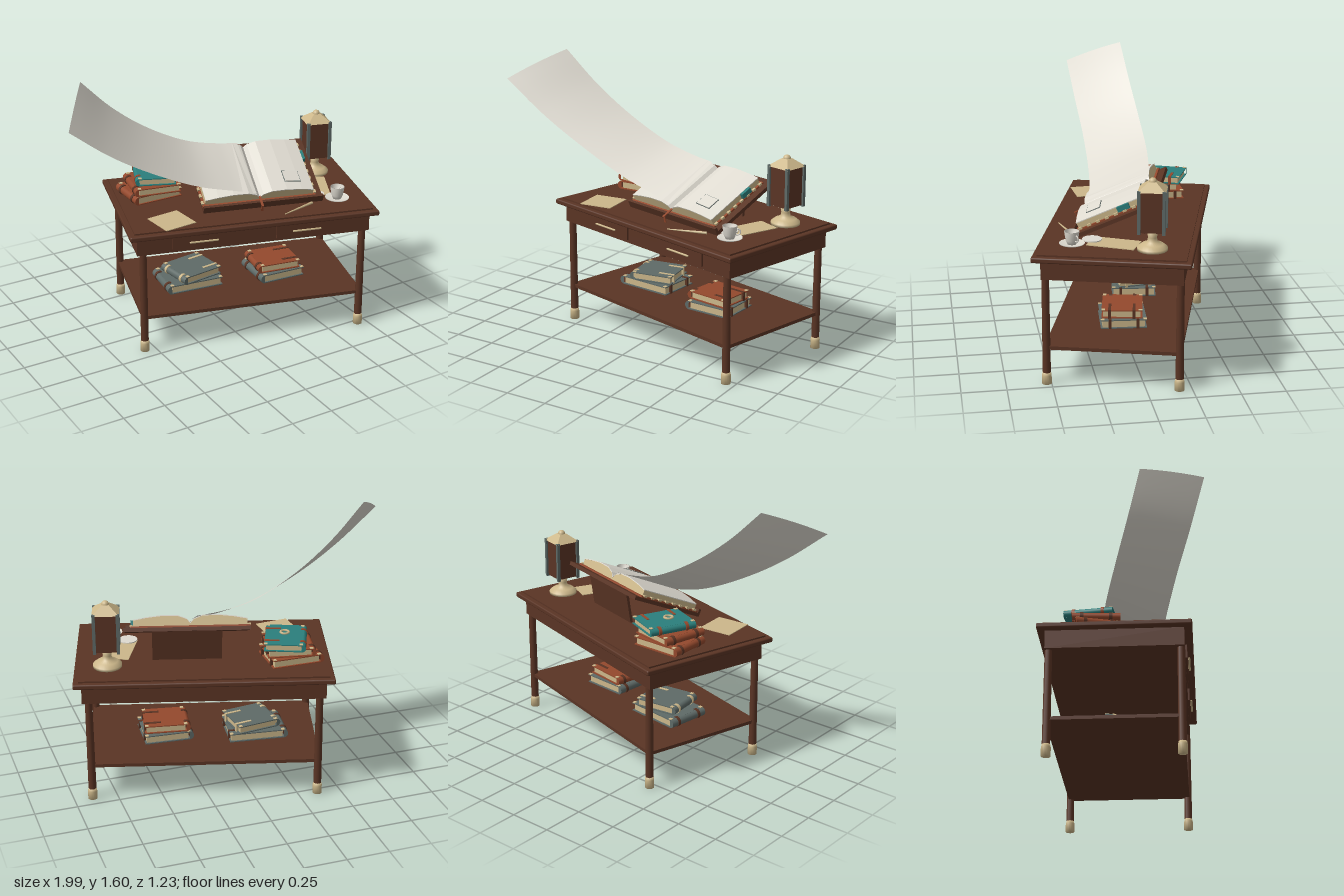
import * as THREE from 'three';
import { RoundedBoxGeometry } from 'three/addons/geometries/RoundedBoxGeometry.js';

const material = (name, color, double) => {
  const m = new THREE.MeshStandardMaterial({ color });
  m.name = name;
  if (double) m.side = THREE.DoubleSide;
  return m;
};

export function createModel() {
  const wood = material('dark wood', 0x5a3424);
  const tan = material('tan parchment', 0xccb78a);
  const white = material('paper white', 0xdedad0, true);
  const teal = material('teal leather', 0x2b7f7c);
  const rust = material('rust leather', 0x94492d);
  const slate = material('slate leather', 0x5e6a67);

  const root = new THREE.Group();
  root.name = 'studyTable';

  const group = (parent, name, x = 0, y = 0, z = 0, ry = 0) => {
    const g = new THREE.Group();
    g.name = name;
    g.position.set(x, y, z);
    g.rotation.y = ry;
    parent.add(g);
    return g;
  };
  const add = (parent, name, geo, mat, x = 0, y = 0, z = 0) => {
    const m = new THREE.Mesh(geo, mat);
    m.name = name;
    m.position.set(x, y, z);
    parent.add(m);
    return m;
  };
  const box = (parent, name, mat, w, h, d, x, y, z) =>
    add(parent, name, new THREE.BoxGeometry(w, h, d), mat, x, y, z);
  const lathe = (parent, name, mat, pts, x, y, z, n = 24) =>
    add(parent, name, new THREE.LatheGeometry(pts.map(p => new THREE.Vector2(...p)), n), mat, x, y, z);

  // Table, turned on the ground plane
  const desk = group(root, 'desk', 0.165, 0, -0.005, -0.277);
  add(desk, 'tableTop', new RoundedBoxGeometry(1.47, 0.03, 0.86, 2, 0.008), wood, 0, 0.742, 0);
  box(desk, 'tableTopPanel', wood, 1.41, 0.012, 0.8, 0, 0.76, 0);
  box(desk, 'apron', wood, 1.38, 0.11, 0.77, 0, 0.675, 0);
  box(desk, 'shelf', wood, 1.33, 0.02, 0.75, 0, 0.215, 0);
  for (const sx of [-1, 1]) {
    for (const sz of [-1, 1]) {
      add(desk, 'leg', new THREE.CylinderGeometry(0.021, 0.023, 0.56, 12), wood, sx * 0.653, 0.345, sz * 0.366);
      lathe(desk, 'legFoot', tan, [[0, 0], [0.027, 0], [0.027, 0.05], [0.023, 0.068], [0, 0.068]],
        sx * 0.653, 0, sz * 0.366, 16);
    }
    // Drawers on the front
    box(desk, 'drawer', wood, 0.36, 0.078, 0.016, sx * 0.305, 0.677, 0.388);
    const handle = add(desk, 'drawerHandle', new THREE.CapsuleGeometry(0.006, 0.16, 4, 8), tan, sx * 0.305, 0.677, 0.405);
    handle.rotation.z = Math.PI / 2;
  }

  // Closed book: spine at -x, straps around the covers
  const book = (parent, name, cover, strap, w, h, d, x, y, z, ry) => {
    const g = group(parent, name, x, y, z, ry), t = 0.006;
    box(g, 'bookPages', tan, w - 0.02, h - 2 * t, d - 0.02, 0, h / 2, 0);
    for (const cy of [t / 2, h - t / 2]) box(g, 'bookCover', cover, w, t, d, 0, cy, 0);
    const spine = add(g, 'bookSpine', new THREE.CylinderGeometry(h / 2, h / 2, d, 14, 1, false, Math.PI, Math.PI),
      cover, -w / 2 + 0.005, h / 2, 0);
    spine.rotation.x = Math.PI / 2;
    for (const k of [-0.3, 0.3]) {
      const band = add(g, 'spineBand', new THREE.CylinderGeometry(h / 2 + 0.004, h / 2 + 0.004, 0.018, 14),
        strap, -w / 2 + 0.005, h / 2, k * d);
      band.rotation.x = Math.PI / 2;
      box(g, 'strap', strap, w * 0.4, h + 0.006, 0.016, w * 0.31, h / 2, k * d);
    }
    for (const sx of [-1, 1]) for (const sz of [-1, 1])
      box(g, 'coverCorner', tan, 0.02, 0.004, 0.02, sx * (w / 2 - 0.01), h + 0.001, sz * (d / 2 - 0.01));
    return g;
  };

  // Books on the shelf
  book(desk, 'shelfBook', slate, wood, 0.33, 0.052, 0.26, -0.3, 0.225, 0, 0.15);
  book(desk, 'shelfBook', slate, tan, 0.25, 0.048, 0.24, -0.28, 0.28, 0, 0.4);
  book(desk, 'shelfBook', slate, wood, 0.27, 0.052, 0.26, 0.235, 0.225, 0, 0.2);
  book(desk, 'shelfBook', rust, wood, 0.25, 0.048, 0.23, 0.23, 0.28, 0, 0.1);

  // Stack on the table top
  book(root, 'stackBook', rust, wood, 0.29, 0.05, 0.25, -0.28, 0.766, -0.27, 0);
  book(root, 'stackBook', rust, wood, 0.26, 0.046, 0.27, -0.27, 0.819, -0.25, -0.2);
  const topBook = book(root, 'stackTopBook', teal, rust, 0.22, 0.044, 0.28, -0.245, 0.868, -0.27, -0.4);
  const clasp = add(topBook, 'bookClasp', new THREE.TorusGeometry(0.024, 0.007, 6, 16), tan, 0, 0.048, 0.03);
  clasp.rotation.x = Math.PI / 2;

  // Lectern, leaning back
  const lectern = group(desk, 'lectern', 0.09, 0.885, 0.02);
  lectern.rotation.x = 0.43;
  box(lectern, 'lecternBoard', wood, 0.72, 0.022, 0.49, 0, 0, 0);
  box(lectern, 'lecternLedge', wood, 0.72, 0.045, 0.016, 0, 0.012, 0.24);
  const prop = box(desk, 'lecternProp', wood, 0.4, 0.2, 0.016, 0.09, 0.865, -0.14);
  prop.rotation.x = -0.15;

  // Open book with curved page blocks
  const open = group(lectern, 'openBook', -0.02, 0.011, 0.01);
  box(open, 'openBookCover', rust, 0.68, 0.01, 0.43, 0, 0.005, 0);
  const pageTop = [[0, 0.022], [0.02, 0.045], [0.07, 0.064], [0.16, 0.066], [0.25, 0.056], [0.325, 0.042]];
  const extrude = (pts, d) => {
    const s = new THREE.Shape(pts.map(p => new THREE.Vector2(...p)));
    return new THREE.ExtrudeGeometry(s, { depth: d, bevelEnabled: false }).translate(0, 0, -d / 2);
  };
  for (const s of [1, -1]) {
    const block = [[0, 0.01], ...pageTop, [0.325, 0.01]].map(([x, y]) => [s * x, y]);
    add(open, 'pageBlock', extrude(block, 0.4), tan);
    const skin = [...pageTop, ...pageTop.map(([x, y]) => [x, y + 0.005]).reverse()].map(([x, y]) => [s * x, y]);
    add(open, 'topPage', extrude(skin, 0.405), white);
    for (let i = 0; i < 8; i++)
      box(open, 'coverStud', tan, 0.014, 0.012, 0.022, s * 0.338, 0.012, -0.19 + i * 0.054);
  }
  box(open, 'pageMarker', teal, 0.03, 0.03, 0.07, 0.328, 0.03, -0.08);
  const note = group(open, 'pageNote', 0.21, 0.068, 0.1);
  note.rotation.z = -0.12;
  box(note, 'noteEdge', slate, 0.1, 0.003, 0.085, 0, 0, 0);
  box(note, 'noteSheet', white, 0.094, 0.005, 0.079, 0, 0.001, 0);
  box(open, 'ribbon', rust, 0.014, 0.004, 0.08, 0, 0.03, 0.235);
  const ribbonEnd = box(open, 'ribbonEnd', rust, 0.014, 0.06, 0.004, 0, 0.0, 0.272);
  ribbonEnd.rotation.x = -0.2;

  // Long sheet sweeping up from the book, ruled between two edge curves
  const curve = pts => new THREE.CatmullRomCurve3(pts.map(p => new THREE.Vector3(...p)));
  const front = curve([[0.15, 0.86, 0.23], [0.02, 0.89, 0.195], [-0.2, 0.955, 0.17],
    [-0.5, 1.1, 0.165], [-0.75, 1.255, 0.18], [-1, 1.45, 0.2]]);
  const back = curve([[0.23, 1.035, -0.12], [0.1, 1.052, -0.14], [-0.09, 1.1, -0.16],
    [-0.35, 1.235, -0.155], [-0.58, 1.405, -0.135], [-0.78, 1.6, -0.11]]);
  const sheet = new THREE.PlaneGeometry(1, 1, 32, 6);
  const pos = sheet.attributes.position, uv = sheet.attributes.uv;
  for (let i = 0; i < pos.count; i++) {
    const t = 1 - uv.getX(i), v = uv.getY(i);
    const p = front.getPoint(t).lerp(back.getPoint(t), v);
    p.y += 0.03 * v * (1 - v) * t;
    pos.setXYZ(i, p.x, p.y, p.z);
  }
  sheet.computeVertexNormals();
  add(root, 'longSheet', sheet, white);

  // Lamp
  const lamp = group(root, 'lamp', 0.745, 0.766, -0.05, -0.277);
  lathe(lamp, 'lampBase', tan, [[0, 0], [0.083, 0], [0.083, 0.016], [0.06, 0.034], [0.03, 0.045],
    [0.024, 0.07], [0.032, 0.11], [0, 0.115]], 0, 0, 0);
  box(lamp, 'lampShade', wood, 0.13, 0.225, 0.13, 0, 0.225, 0);
  for (const sx of [-1, 1]) for (const sz of [-1, 1])
    box(lamp, 'lampPost', slate, 0.018, 0.24, 0.018, sx * 0.067, 0.225, sz * 0.067);
  const roof = add(lamp, 'lampRoof', new THREE.CylinderGeometry(0.03, 0.108, 0.045, 4, 1).toNonIndexed(), tan, 0, 0.36, 0);
  roof.geometry.computeVertexNormals();
  roof.rotation.y = Math.PI / 4;
  add(lamp, 'lampKnob', new THREE.SphereGeometry(0.022, 14, 10), tan, 0, 0.382, 0);

  // Cup and saucer
  const cup = group(root, 'teaCup', 0.62, 0.766, 0.37);
  lathe(cup, 'saucer', white, [[0, 0.004], [0.04, 0.004], [0.07, 0.016], [0.07, 0.02], [0.04, 0.01], [0, 0.01]], 0, 0, 0);
  lathe(cup, 'cup', white, [[0, 0.012], [0.024, 0.012], [0.034, 0.035], [0.042, 0.085], [0.038, 0.085], [0.03, 0.035], [0, 0.02]], 0, 0, 0);
  const ear = add(cup, 'cupHandle', new THREE.TorusGeometry(0.017, 0.004, 6, 14), white, 0.035, 0.05, -0.02);
  ear.rotation.y = 0.5;

  // Loose papers, coaster and pen
  box(root, 'looseSheet', tan, 0.15, 0.004, 0.27, 0.62, 0.769, 0.14).rotation.y = -0.46;
  box(root, 'looseSheet', tan, 0.2, 0.004, 0.2, -0.36, 0.769, 0.14).rotation.y = 0.08;
  add(root, 'coaster', new THREE.CylinderGeometry(0.055, 0.055, 0.006, 24), white, 0.545, 0.774, 0.25);
  const pen = group(root, 'pen', 0.35, 0.774, 0.372, 0.24);
  add(pen, 'penBody', new THREE.CylinderGeometry(0.008, 0.003, 0.23, 8), tan).rotation.z = -Math.PI / 2;

  return root;
}
